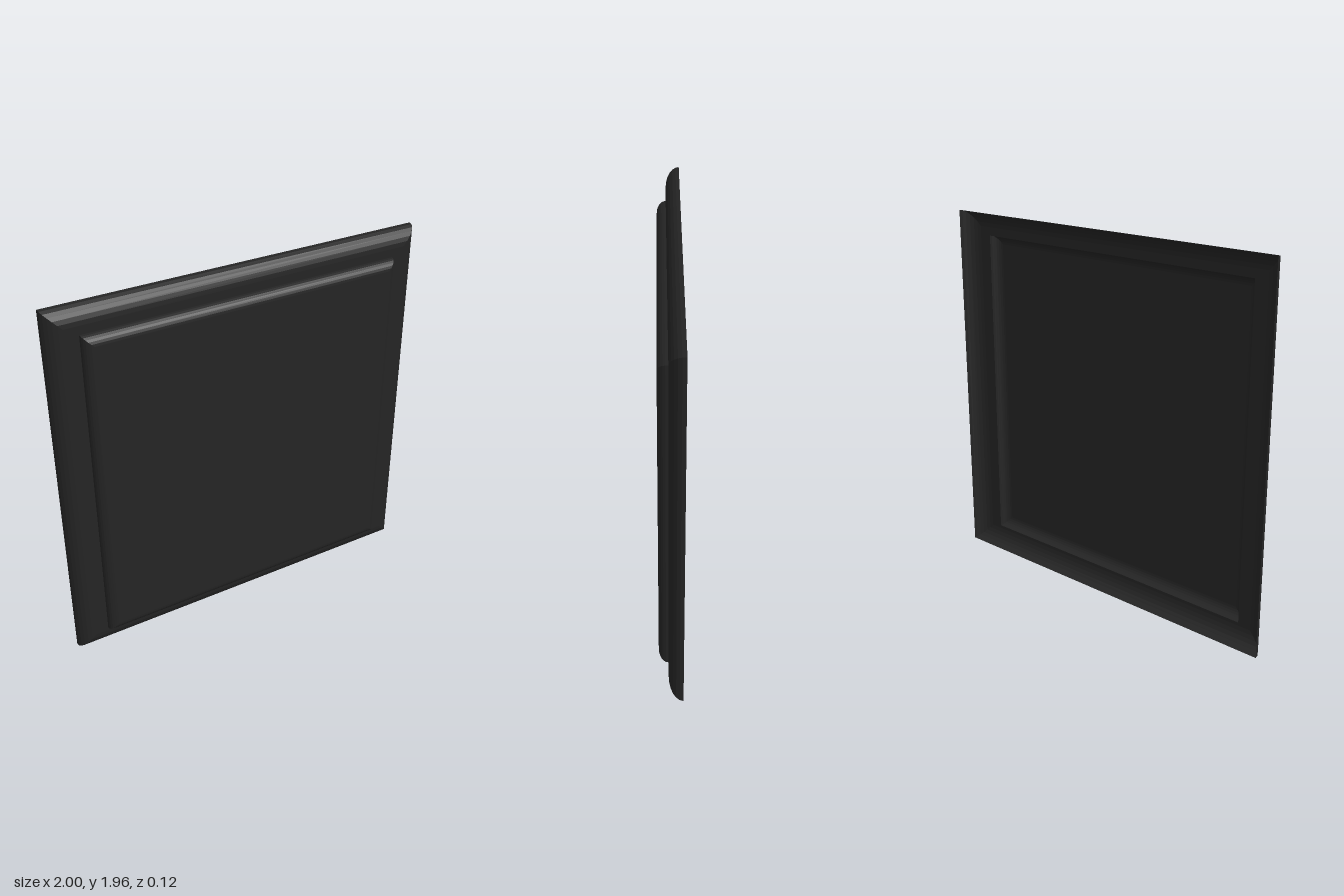
import * as THREE from 'three';

const black = new THREE.MeshStandardMaterial({ color: 0x242424, side: THREE.DoubleSide, flatShading: true });
black.name = 'matte black';

// A ring is a rectangle facing +z: its four corners counter-clockwise.
const ring = (halfW, y0, y1, z) => [
  [-halfW, y0, z], [halfW, y0, z], [halfW, y1, z], [-halfW, y1, z],
];

// Rings following a quarter ellipse, inset from a base rectangle.
function roundedRings(halfW, y0, y1, z, inset, rise, steps) {
  const rings = [];
  for (let i = 0; i <= steps; i++) {
    const a = (i / steps) * Math.PI / 2;
    const d = inset * (1 - Math.cos(a));
    rings.push(ring(halfW - d, y0 + d, y1 - d, z + rise * Math.sin(a)));
  }
  return rings;
}

// Mitred surface joining consecutive rings, optionally closed by the last one.
function loft(name, rings, capped) {
  const pos = [];
  const quad = (a, b, c, d) => pos.push(...a, ...b, ...c, ...a, ...c, ...d);
  for (let i = 0; i < rings.length - 1; i++) {
    for (let s = 0; s < 4; s++) {
      const n = (s + 1) % 4;
      quad(rings[i][s], rings[i][n], rings[i + 1][n], rings[i + 1][s]);
    }
  }
  if (capped) quad(...rings[rings.length - 1]);
  const geo = new THREE.BufferGeometry();
  geo.setAttribute('position', new THREE.Float32BufferAttribute(pos, 3));
  geo.computeVertexNormals();
  const mesh = new THREE.Mesh(geo, black);
  mesh.name = name;
  return mesh;
}

export function createModel() {
  const group = new THREE.Group();
  group.name = 'raisedPanel';

  const frame = roundedRings(1, 0, 1.955, -0.06, 0.085, 0.072, 6);
  const panel = roundedRings(0.845, 0.103, 1.825, 0.012, 0.048, 0.048, 6);

  // Outer frame: rounded edge, open at the back
  group.add(loft('frameEdge', frame, false));
  // Flat border between the frame edge and the raised panel
  group.add(loft('border', [frame[frame.length - 1], panel[0]], false));
  // Raised centre panel with its own rounded edge
  group.add(loft('centrePanel', panel, true));

  return group;
}
